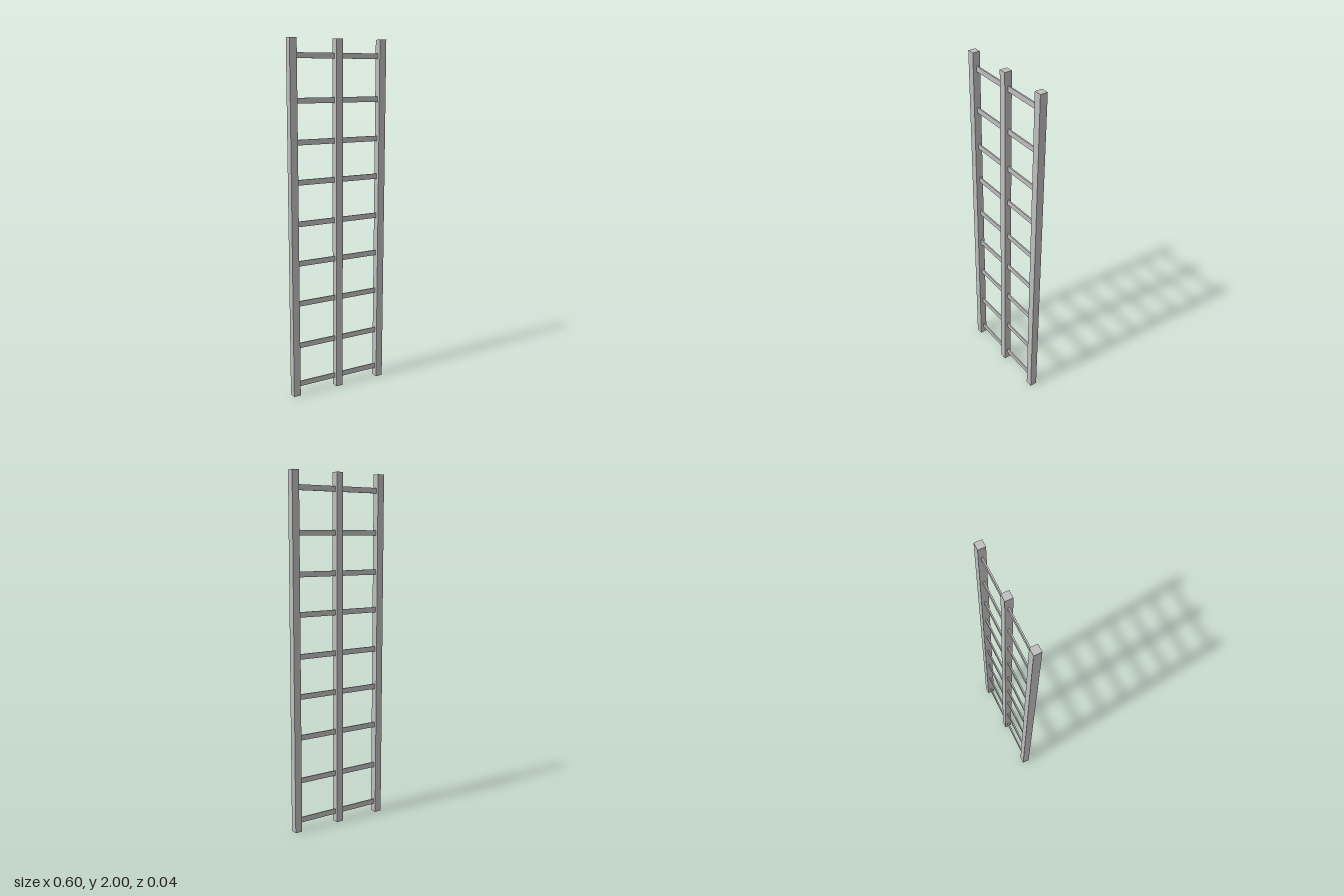
import * as THREE from 'three';

export function createModel() {
  const model = new THREE.Group();
  model.name = 'ladder';
  const metal = new THREE.MeshStandardMaterial({ color: 0xbfbfbf, side: THREE.DoubleSide });
  metal.name = 'grey metal';

  const POST = 0.042, POST_X = 0.28, HEIGHT = 2;

  // Square posts, open at the foot
  const postGeometry = new THREE.BoxGeometry(POST, HEIGHT, POST);
  const index = Array.from(postGeometry.index.array);
  index.splice(18, 6); // drop the bottom face
  postGeometry.setIndex(index);
  postGeometry.clearGroups();
  [['rightPost', -POST_X], ['middlePost', 0], ['leftPost', POST_X]].forEach(([name, x]) => {
    const post = new THREE.Mesh(postGeometry, metal);
    post.name = name;
    post.position.set(x, HEIGHT / 2, 0);
    model.add(post);
  });

  // Flat rungs, one on each side of the middle post at every level
  const rungGeometry = new THREE.BoxGeometry(POST_X - POST + 0.004, 0.03, 0.008);
  const levels = [0.063, 0.296, 0.545, 0.778, 1.003, 1.234, 1.452, 1.674, 1.91];
  levels.forEach((y, i) => {
    for (const side of [-1, 1]) {
      const rung = new THREE.Mesh(rungGeometry, metal);
      rung.name = `${side < 0 ? 'right' : 'left'}Rung${i + 1}`;
      rung.position.set(side * POST_X / 2, y, -0.002);
      model.add(rung);
    }
  });

  return model;
}
